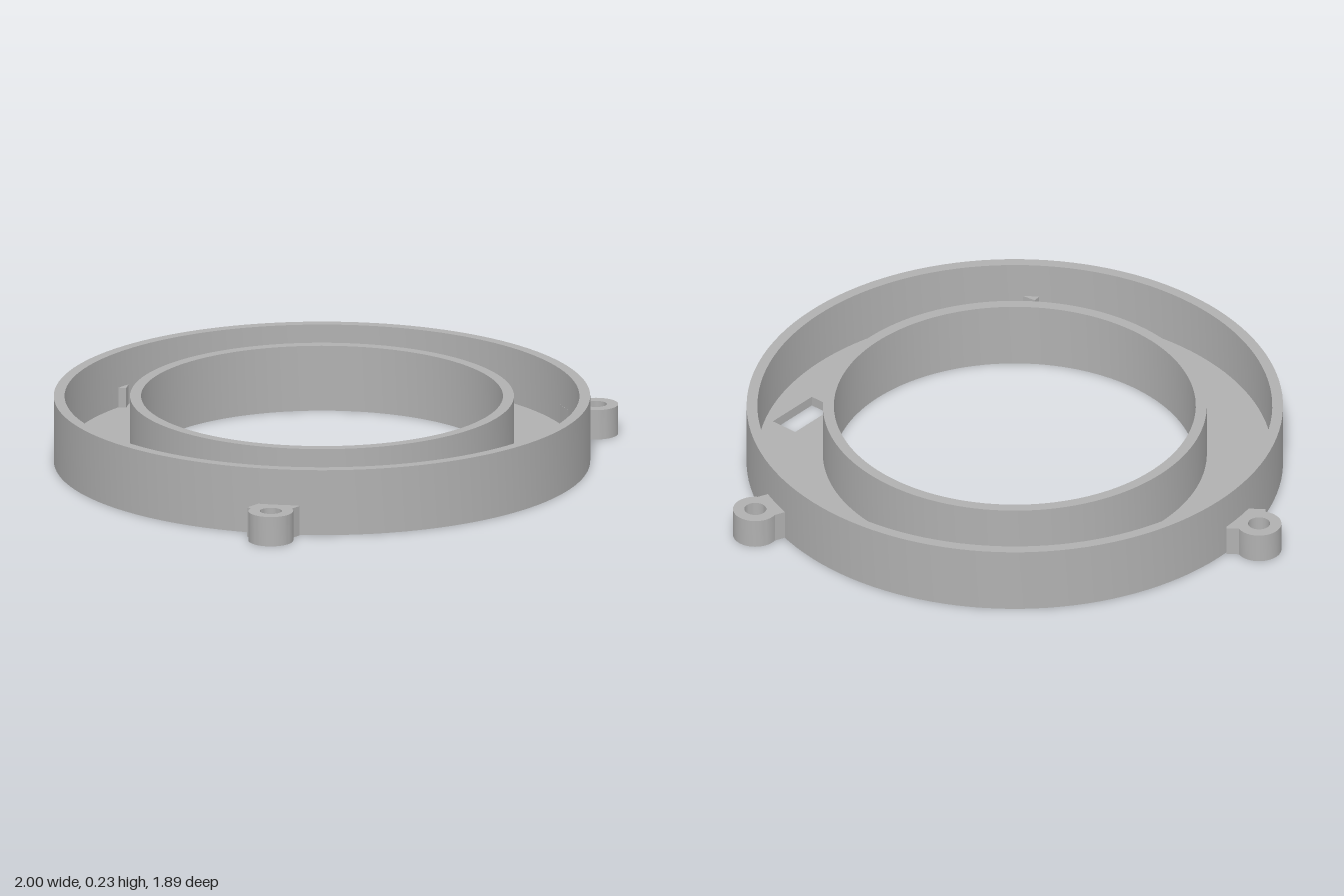
import * as THREE from 'three';
import { toCreasedNormals } from 'three/addons/utils/BufferGeometryUtils.js';

const CX = -0.078;            // ring centre
const LUG_DISTANCE = 1.001;   // ring centre to screw hole

export function createModel() {
  const group = new THREE.Group();
  const grey = new THREE.MeshStandardMaterial({ color: 0xb0b0b0 });
  grey.name = 'grey plastic';

  // Plan shapes are drawn with shape y = -z, then raised upward from y = 0
  function addPart(name, shape, height, curveSegments) {
    const flat = new THREE.ExtrudeGeometry(shape, { depth: height, bevelEnabled: false, curveSegments });
    flat.rotateX(-Math.PI / 2);
    const mesh = new THREE.Mesh(toCreasedNormals(flat, 0.5), grey);
    mesh.name = name;
    group.add(mesh);
    return mesh;
  }

  function circle(radius, x = 0, y = 0) {
    return new THREE.Path().absarc(x, y, radius, 0, Math.PI * 2, false);
  }

  function annulus(outer, inner) {
    const shape = new THREE.Shape().absarc(CX, 0, outer, 0, Math.PI * 2, false);
    shape.holes.push(circle(inner, CX));
    return shape;
  }

  // Outer and inner walls
  addPart('outerWall', annulus(0.922, 0.885), 0.232, 64);
  addPart('innerWall', annulus(0.66, 0.622), 0.232, 64);

  // Floor with a slanted rectangular slot
  const floor = annulus(0.885, 0.66);
  const slotAngle = THREE.MathUtils.degToRad(22);
  const corners = [[-1, -1], [1, -1], [1, 1], [-1, 1]].map(([a, b]) =>
    new THREE.Vector2(a * 0.102, b * 0.051)
      .rotateAround(new THREE.Vector2(), slotAngle)
      .add(new THREE.Vector2(0.457, -0.55)));
  floor.holes.push(new THREE.Path(corners));
  addPart('floor', floor, 0.035, 64);

  // Screw lug: round boss merged with a square foot, pierced by a hole.
  // The foot spans u0..u1 by v0..v1 around the boss centre.
  function addLug(name, direction, turn, [u0, u1, v0, v1], mirror) {
    const r = 0.077;
    const start = Math.asin(v1 / r);
    const low = Math.hypot(u0, v0) < r
      ? new THREE.Vector2(Math.sqrt(r * r - v0 * v0), v0)
      : new THREE.Vector2(u0, -Math.sqrt(r * r - u0 * u0));
    const end = Math.atan2(low.y, low.x) + Math.PI * 2;
    const points = [];
    for (let i = 0; i <= 32; i++) {
      const a = start + (end - start) * i / 32;
      points.push(new THREE.Vector2(Math.cos(a) * r, Math.sin(a) * r));
    }
    if (Math.hypot(u0, v0) >= r) points.push(new THREE.Vector2(u0, v0));
    points.push(new THREE.Vector2(u1, v0), new THREE.Vector2(u1, v1));
    if (mirror) points.forEach((p) => { p.y *= -1; });
    const shape = new THREE.Shape(points);
    shape.holes.push(circle(0.038));
    const lug = addPart(name, shape, 0.105, 16);
    lug.rotation.y = turn;
    lug.position.set(CX + Math.cos(direction) * LUG_DISTANCE, 0, -Math.sin(direction) * LUG_DISTANCE);
  }

  const third = Math.PI * 2 / 3;
  const skewFoot = [-0.018, 0.11, -0.091, 0.037];
  addLug('leftLug', 0, Math.PI, [-0.011, 0.117, -0.064, 0.064], false);
  addLug('rearRightLug', third, -Math.PI / 6, skewFoot, false);
  addLug('frontRightLug', -third, Math.PI / 6, skewFoot, true);

  return group;
}
